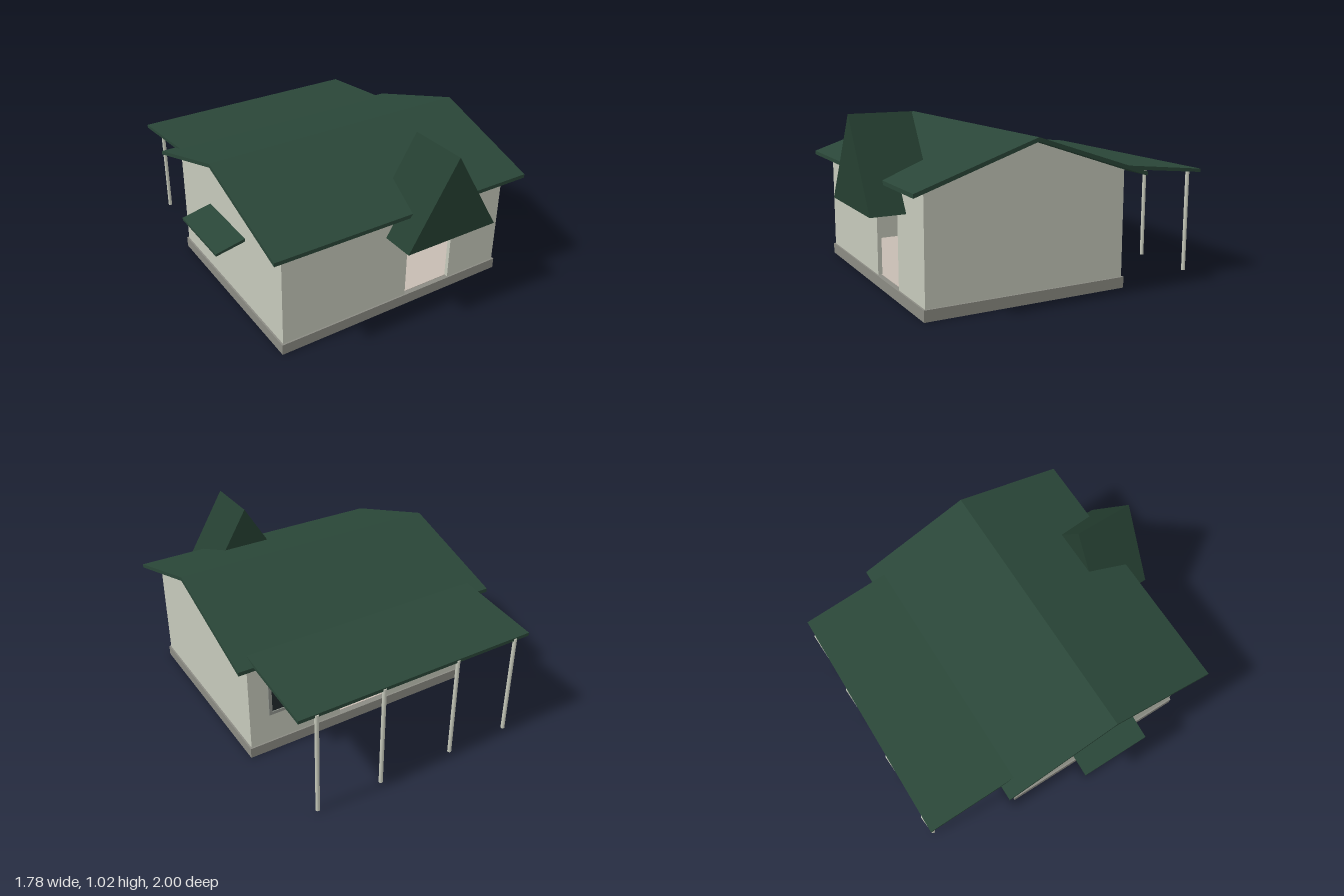
import * as THREE from 'three';

const mat = (color) => new THREE.MeshStandardMaterial({ color });
const WALL = mat(0xc6c9bb), SLAB = mat(0x8b8b83), ROOF = mat(0x2a4638), GABLE = mat(0x253f31);
const PLASTER = mat(0xc6bcb2), WOOD = mat(0x9c7c4c), GLASS = mat(0x20282b), FRAME = mat(0x8f938c);

export function createModel() {
  const house = new THREE.Group();
  house.name = 'house';

  const add = (name, geometry, material) => {
    const mesh = new THREE.Mesh(geometry, material);
    mesh.name = name;
    house.add(mesh);
    return mesh;
  };

  // Box given by its lower and upper corners
  const box = (name, [x0, y0, z0], [x1, y1, z1], material) => {
    const mesh = add(name, new THREE.BoxGeometry(x1 - x0, y1 - y0, z1 - z0), material);
    mesh.position.set((x0 + x1) / 2, (y0 + y1) / 2, (z0 + z1) / 2);
  };

  const outline = (points) => new THREE.Shape(points.map(([x, y]) => new THREE.Vector2(x, y)));
  const rect = (x0, y0, x1, y1) => [[x0, y0], [x1, y0], [x1, y1], [x0, y1]];

  // Outline in x and y, extruded from z0 to z1, with optional holes
  const alongZ = (name, points, z0, z1, material, holes = []) => {
    const shape = outline(points);
    shape.holes = holes.map(outline);
    const geometry = new THREE.ExtrudeGeometry(shape, { depth: z1 - z0, bevelEnabled: false });
    add(name, geometry.translate(0, 0, z0), material);
  };

  // Outline in z and y, extruded from x0 to x1
  const alongX = (name, points, x0, x1, material) => {
    const shape = outline(points.map(([z, y]) => [-z, y]));
    const geometry = new THREE.ExtrudeGeometry(shape, { depth: x1 - x0, bevelEnabled: false });
    add(name, geometry.rotateY(Math.PI / 2).translate(x0, 0, 0), material);
  };

  // Foundation, floor and ceiling
  box('foundation', [-0.72, 0, -0.435], [0.81, 0.065, 0.81], SLAB);
  box('floor', [-0.69, 0.065, -0.4], [0.78, 0.068, 0.78], PLASTER);
  box('ceiling', [-0.69, 0.67, -0.4], [0.78, 0.68, 0.78], WALL);

  // Long walls, notched for the doorways
  const doorWall = (x0, x1, d0, d1, top, y1) => [
    [x0, 0.065], [d0, 0.065], [d0, top], [d1, top],
    [d1, 0.065], [x1, 0.065], [x1, y1], [x0, y1],
  ];
  alongZ('frontWall', doorWall(-0.71, 0.8, 0.115, 0.44, 0.505, 0.69), 0.775, 0.8, WALL);
  alongZ('backWall', doorWall(-0.71, 0.8, -0.125, 0.2, 0.48, 0.69), -0.425, -0.4, WALL);

  // Plaster and wooden panelling inside the back wall
  alongZ('innerPlaster', doorWall(-0.69, 0.78, -0.125, 0.2, 0.48, 0.67), -0.4, -0.397, PLASTER);
  box('panelling', [-0.69, 0.065, -0.397], [-0.125, 0.285, -0.393], WOOD);
  box('panelling', [0.2, 0.065, -0.397], [0.78, 0.285, -0.393], WOOD);

  // Gable end walls
  const gable = [[0.8, 0.065], [0.8, 0.69], [0.19, 0.893], [-0.425, 0.69], [-0.425, 0.065]];
  alongX('rightGableWall', gable, -0.71, -0.69, WALL);
  alongX('leftGableWall', gable, 0.78, 0.8, WALL);

  // Main roof
  alongX('mainRoof', [
    [0.89, 0.685], [0.19, 0.918], [-0.52, 0.685],
    [-0.52, 0.662], [0.19, 0.895], [0.89, 0.662],
  ], -0.8, 0.89, ROOF);

  // Solid pointed hood above the front door
  alongZ('entranceHood', [[-0.042, 0.515], [0.57, 0.515], [0.264, 1.02]], 0.635, 1, GABLE);

  // Back porch roof on round posts
  alongX('porchRoof', [[-0.42, 0.714], [-0.42, 0.692], [-0.99, 0.632], [-0.99, 0.652]], -0.71, 0.8, ROOF);
  for (const x of [-0.61, -0.2, 0.285, 0.692]) {
    add('porchPost', new THREE.CylinderGeometry(0.012, 0.012, 0.645, 12), WALL)
      .position.set(x, 0.3225, -0.985);
  }

  // Sloping side awning
  alongZ('sideAwning', [[-0.89, 0.468], [-0.71, 0.503], [-0.71, 0.522], [-0.89, 0.483]], -0.04, 0.4, ROOF);

  // Back windows: raised frames around dark glass
  for (const x of [-0.42, 0.51]) {
    const inner = rect(x - 0.15, 0.275, x + 0.15, 0.46);
    alongZ('windowFrame', rect(x - 0.17, 0.255, x + 0.17, 0.48), -0.434, -0.424, FRAME, [inner]);
    box('windowGlass', [x - 0.15, 0.275, -0.428], [x + 0.15, 0.46, -0.424], GLASS);
  }

  return house;
}
